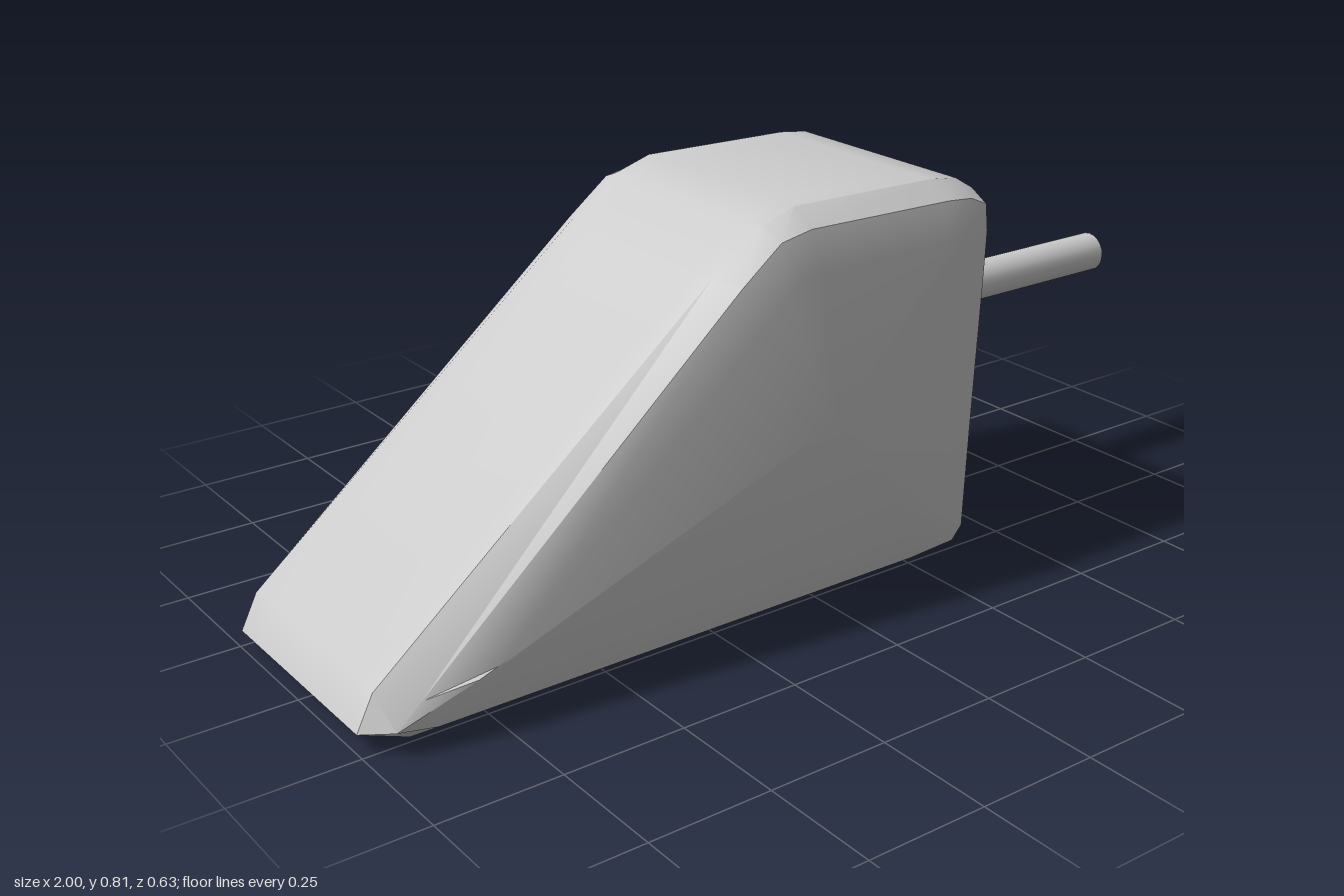
import * as THREE from 'three';
import { toCreasedNormals } from 'three/addons/utils/BufferGeometryUtils.js';

// side profiles (x, y), anticlockwise from the bottom toe: full, bevel, flat cheek
const FULL = [[-0.9, 0], [0.22, 0], [0.355, 0.035], [0.412, 0.11], [0.42, 0.295], [0.42, 0.64], [0.42, 0.7], [0.4, 0.775],
  [0.355, 0.802], [0.29, 0.81], [-0.05, 0.815], [-0.13, 0.79], [-0.24, 0.71], [-0.965, 0.11], [-1, 0.04]];
const BEVEL = [[-0.87, 0.035], [0.22, 0.035], [0.335, 0.042], [0.36, 0.07], [0.372, 0.295], [0.393, 0.64], [0.396, 0.7], [0.39, 0.755],
  [0.35, 0.773], [0.29, 0.778], [-0.05, 0.783], [-0.12, 0.77], [-0.21, 0.7], [-0.9, 0.095], [-0.95, 0.05]];
const CHEEK = [[-0.78, 0.11], [0.2, 0.11], [0.25, 0.12], [0.265, 0.14], [0.28, 0.295], [0.3, 0.64], [0.3, 0.66], [0.296, 0.688],
  [0.286, 0.7], [0.27, 0.705], [-0.05, 0.705], [-0.09, 0.7], [-0.13, 0.67], [-0.75, 0.13], [-0.8, 0.115]];

// cross-sections across the width; the socket opens between sections 3 and 4
const SECTIONS = [[CHEEK, -0.314], [BEVEL, -0.288], [FULL, -0.235], [FULL, -0.165],
  [FULL, 0.185], [FULL, 0.235], [BEVEL, 0.288], [CHEEK, 0.314]];
const SOCKET_SECTION = 3, SOCKET_EDGE = 4, SOCKET_FLOOR = 0.245;

function makeGeometry(pos) {
  const g = new THREE.BufferGeometry();
  g.setAttribute('position', new THREE.Float32BufferAttribute(pos, 3));
  return toCreasedNormals(g, 0.5);
}

export function createModel() {
  const group = new THREE.Group();
  const material = new THREE.MeshStandardMaterial({ color: 0xcccccc });
  const add = (name, geometry) => {
    const mesh = new THREE.Mesh(geometry, material);
    mesh.name = name;
    group.add(mesh);
    return mesh;
  };
  const quad = (out, a, b, c, d) => out.push(...a, ...b, ...c, ...a, ...c, ...d);

  // wedge body: skin between cross-sections, leaving the socket open
  const n = FULL.length;
  const rings = SECTIONS.map(([profile, z]) => profile.map(([x, y]) => [x, y, z]));
  const skin = [];
  let opening;
  for (let k = 0; k < rings.length - 1; k++) {
    for (let i = 0; i < n; i++) {
      const j = (i + 1) % n;
      const face = [rings[k][i], rings[k][j], rings[k + 1][j], rings[k + 1][i]];
      if (k === SOCKET_SECTION && i === SOCKET_EDGE) opening = face;
      else quad(skin, ...face);
    }
  }
  // flat cheeks
  const first = rings[0], last = rings[rings.length - 1];
  for (let i = 0; i < n; i++) {
    const j = (i + 1) % n;
    skin.push(0, 0.4, last[0][2], ...last[i], ...last[j]);
    skin.push(0, 0.4, first[0][2], ...first[j], ...first[i]);
  }
  add('wedgeBody', makeGeometry(skin));

  // tapered socket in the +x face
  const floor = [[0.305, -0.162], [0.605, -0.162], [0.605, 0.16], [0.305, 0.16]].map(([y, z]) => [SOCKET_FLOOR, y, z]);
  const socket = [];
  quad(socket, ...floor);
  for (let i = 0; i < 4; i++) {
    const j = (i + 1) % 4;
    quad(socket, opening[i], opening[j], floor[j], floor[i]);
  }
  add('socket', makeGeometry(socket));

  // shaft standing out of the socket floor
  const length = 1 - SOCKET_FLOOR;
  const shaft = add('shaft', new THREE.CylinderGeometry(0.043, 0.043, length, 20));
  shaft.rotation.z = -Math.PI / 2;
  shaft.position.set(SOCKET_FLOOR + length / 2, 0.471, 0.004);

  return group;
}
